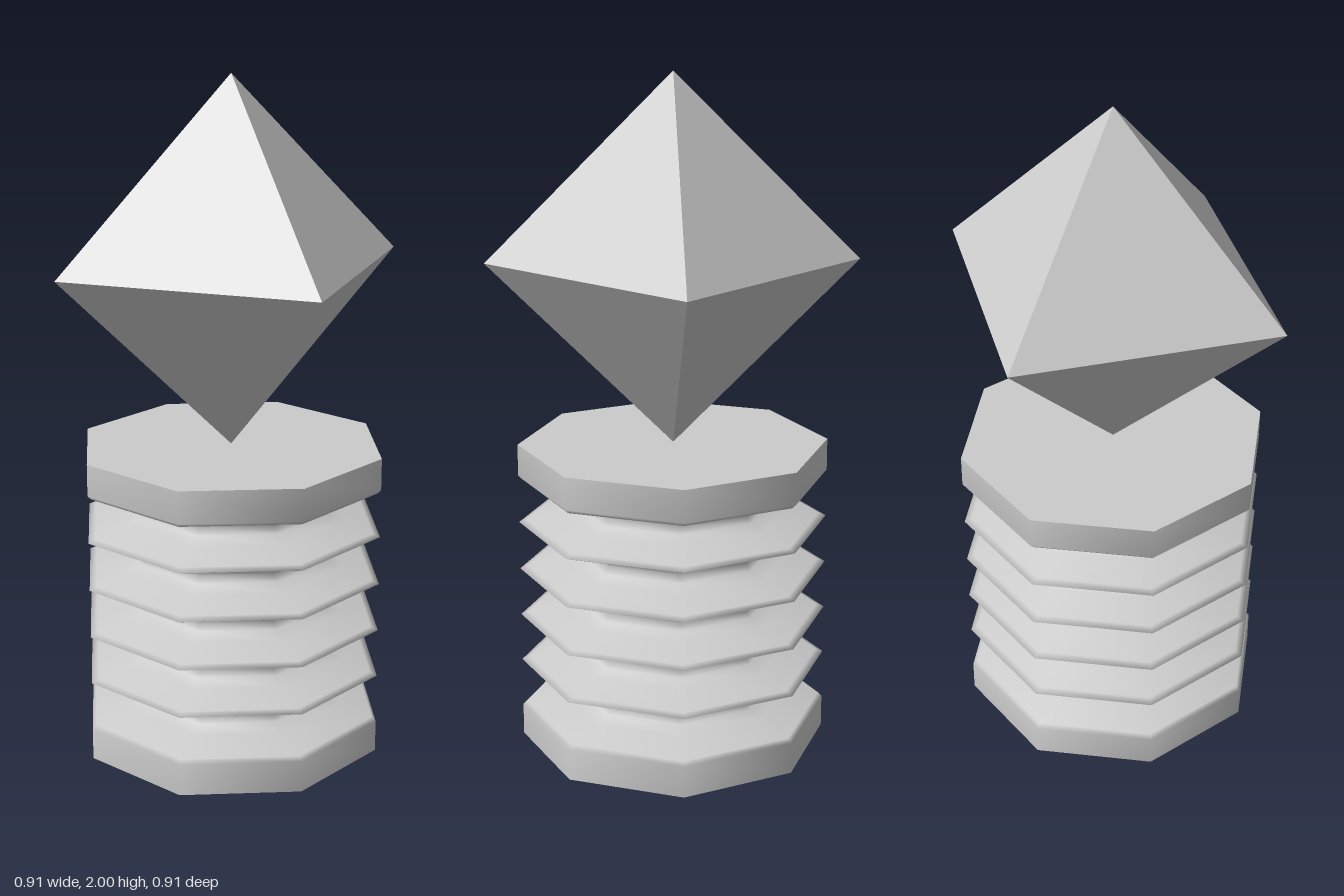
import * as THREE from 'three';

const material = new THREE.MeshStandardMaterial({ color: 0xcccccc });
const flatMaterial = new THREE.MeshStandardMaterial({ color: 0xcccccc, flatShading: true });

const SIDES = 8;
const RADIUS = 0.457;
const COLUMN_HEIGHT = 0.92;
const CRYSTAL_RADIUS = 0.54;
const GROOVES = 5;
const FIRST_NECK = 0.17;
const PITCH = 0.146;

function addMesh(group, name, geometry, mat = material) {
  const mesh = new THREE.Mesh(geometry, mat);
  mesh.name = name;
  group.add(mesh);
  return mesh;
}

// Outline of the column side: plain collars at both ends, rounded grooves between thin ridges
function columnProfile() {
  const points = [[RADIUS, 0], [RADIUS, 0.095], [0.445, 0.107]];
  for (let i = 0; i < GROOVES; i++) {
    const y = FIRST_NECK + i * PITCH;
    if (i > 0) points.push([0.435, y - 0.082], [RADIUS, y - 0.073], [0.435, y - 0.064]);
    points.push([0.34, y - 0.037], [0.295, y - 0.02], [0.28, y], [0.295, y + 0.02], [0.34, y + 0.037]);
  }
  points.push([0.445, 0.813], [RADIUS, 0.825], [RADIUS, COLUMN_HEIGHT]);
  return points.map(([x, y]) => new THREE.Vector2(x, y));
}

export function createModel() {
  const model = new THREE.Group();
  model.name = 'crystalOnColumn';

  // Ribbed eight-sided column
  const column = new THREE.Group();
  column.name = 'column';
  model.add(column);
  addMesh(column, 'ribbedSide', new THREE.LatheGeometry(columnProfile(), SIDES));

  // Flat end faces
  const top = addMesh(column, 'columnTop', new THREE.CircleGeometry(RADIUS, SIDES));
  top.rotation.x = -Math.PI / 2;
  top.position.y = COLUMN_HEIGHT;
  const bottom = addMesh(column, 'columnBottom', new THREE.CircleGeometry(RADIUS, SIDES));
  bottom.rotation.x = Math.PI / 2;

  // Crystal balanced on its lower point
  const crystal = addMesh(model, 'crystal', new THREE.OctahedronGeometry(CRYSTAL_RADIUS), flatMaterial);
  crystal.rotation.y = Math.PI / 4;
  crystal.position.y = COLUMN_HEIGHT + CRYSTAL_RADIUS;

  return model;
}
